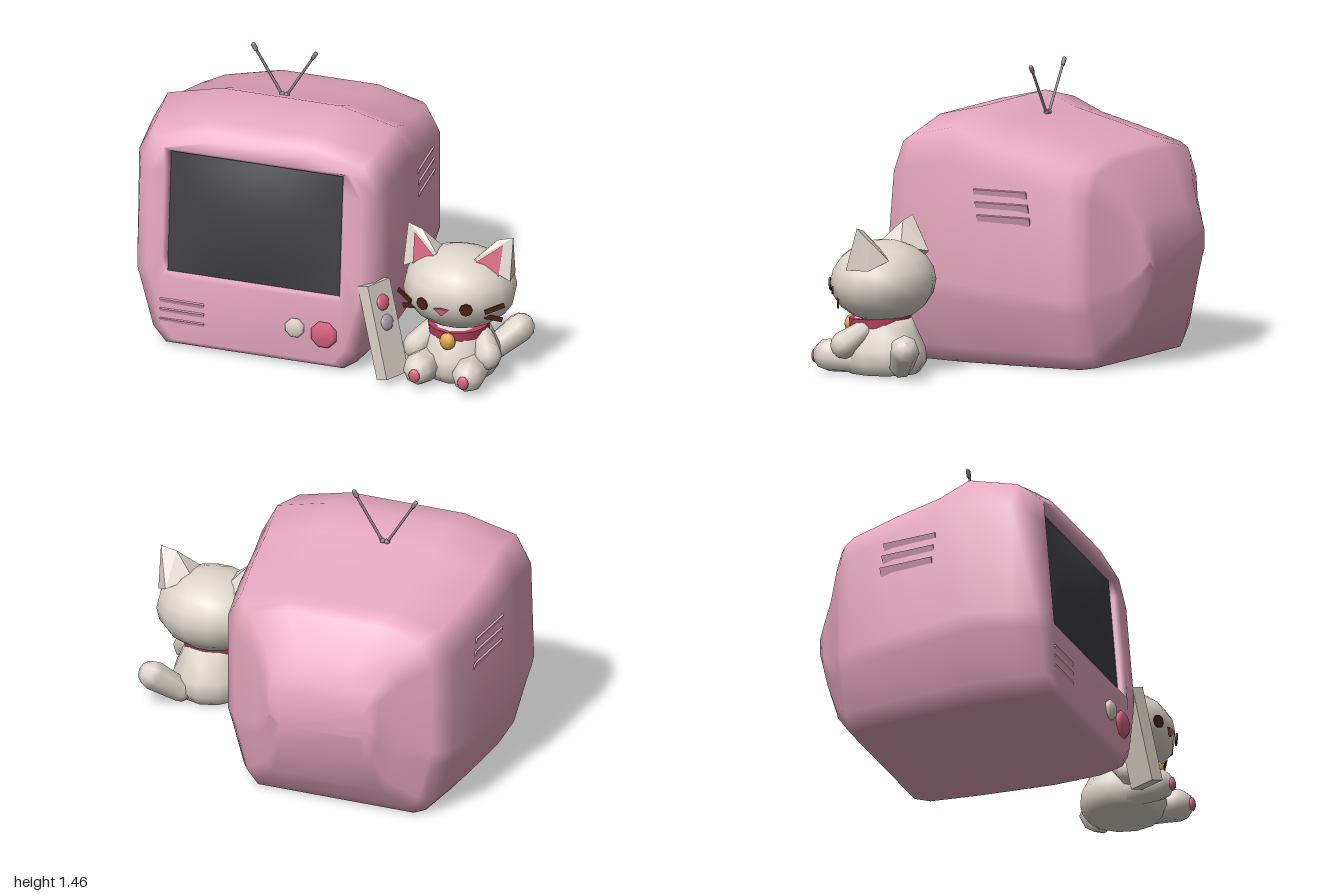
import * as THREE from 'three';
import { ConvexGeometry } from 'three/addons/geometries/ConvexGeometry.js';

const mat = (name, color) => Object.assign(new THREE.MeshStandardMaterial({ color }), { name });
const M = {
  pink: mat('cabinetPink', 0xe5a7be), screen: mat('screenGrey', 0x404045), cream: mat('cream', 0xddd4ca),
  rose: mat('rose', 0xd6627f), collar: mat('collarRed', 0xb83f60), lilac: mat('lilac', 0xad9db4),
  gold: mat('gold', 0xdda848), brown: mat('brown', 0x50241b), metal: mat('antennaMauve', 0x93828c),
};
const TVX = -0.316, CATX = 0.7;
const v3 = (x, y, z) => new THREE.Vector3(x, y, z);

function add(parent, name, geo, material, x = 0, y = 0, z = 0) {
  const m = new THREE.Mesh(geo, material);
  m.name = name;
  m.position.set(x, y, z);
  parent.add(m);
  return m;
}

function ball(parent, name, material, p, r, seg = 10) {
  const m = add(parent, name, new THREE.SphereGeometry(1, seg, Math.max(6, seg - 4)), material, ...p);
  m.scale.set(...r);
  return m;
}

// Rounded limb between two points, with its own radius at each end
function limb(parent, name, material, a, b, ra, rb, sides = 8) {
  const len = a.distanceTo(b), pts = [];
  for (let i = 0; i <= 3; i++) pts.push([ra * Math.sin(i * Math.PI / 6), -ra * Math.cos(i * Math.PI / 6)]);
  for (let i = 0; i <= 3; i++) pts.push([rb * Math.cos(i * Math.PI / 6), len + rb * Math.sin(i * Math.PI / 6)]);
  const geo = new THREE.LatheGeometry(pts.map(p => new THREE.Vector2(Math.max(p[0], 0), p[1])), sides);
  const m = add(parent, name, geo, material, a.x, a.y, a.z);
  m.quaternion.setFromUnitVectors(v3(0, 1, 0), b.clone().sub(a).normalize());
  return m;
}

// Leaning plane of the television front
const faceZ = y => 0.64 - 0.07 * THREE.MathUtils.clamp((y - 0.3) / 0.84, 0, 1);

// Half outlines (u across, v up) for cabinet and screen opening
const CABINET = [[0.75, 0], [0.86, 0.07], [0.96, 0.27], [1, 0.34], [1, 0.82], [0.88, 0.945], [0.46, 1]];
const OPENING = [[0.6, 0], [1, 0], [1, 0.14], [1, 0.3], [1, 0.85], [1, 1], [0.4, 1]];

function ring(half, w, y0, y1, zAt, cx = TVX) {
  const pt = (s, [u, v]) => {
    const y = y0 + v * (y1 - y0);
    return v3(cx + s * u * w, y, zAt(y));
  };
  return [...half.map(p => pt(1, p)), ...[...half].reverse().map(p => pt(-1, p))];
}

function loft(rings) {
  const n = rings[0].length, idx = [], pos = rings.flat().flatMap(p => [p.x, p.y, p.z]);
  for (let r = 0; r < rings.length - 1; r++)
    for (let i = 0; i < n; i++) {
      const a = r * n + i, b = r * n + (i + 1) % n;
      idx.push(a, b, b + n, a, b + n, a + n);
    }
  for (let i = 1; i < n - 1; i++) idx.push(0, i + 1, i); // back cap
  const g = new THREE.BufferGeometry();
  g.setAttribute('position', new THREE.Float32BufferAttribute(pos, 3));
  g.setIndex(idx);
  g.computeVertexNormals();
  return g;
}

function makeTelevision() {
  const tv = new THREE.Group();
  tv.name = 'television';

  // Cabinet sections from back to front: z, half width, bottom, top
  const rings = [
    [-0.725, 0.275, 0.49, 0.66], [-0.69, 0.305, 0.35, 0.77], [-0.62, 0.385, 0.17, 0.91], [-0.53, 0.53, 0.05, 1.04],
    [-0.5, 0.56, 0.01, 1.07], [-0.43, 0.61, 0, 1.09], [-0.18, 0.65, 0, 1.15], [0.05, 0.672, 0, 1.2],
    [0.22, 0.686, 0, 1.27], [0.47, 0.665, 0, 1.21],
  ].map(([z, w, y0, y1]) => ring(CABINET, w, y0, y1, () => z));
  const scrX = -0.325;
  rings.push(
    ring(CABINET, 0.63, 0.015, 1.165, y => faceZ(y) - 0.035),
    ring(CABINET, 0.565, 0.05, 1.125, faceZ),
    ring(OPENING, 0.478, 0.385, 1.065, faceZ, scrX),
    ring(OPENING, 0.462, 0.4, 1.045, y => faceZ(y) - 0.02, scrX),
    ring(OPENING, 0.458, 0.405, 1.04, y => faceZ(y) - 0.07, scrX),
  );
  add(tv, 'cabinet', loft(rings), M.pink);

  // Bulging screen
  const scr = new THREE.PlaneGeometry(0.924, 0.644, 10, 8), p = scr.attributes.position;
  for (let i = 0; i < p.count; i++) {
    const a = p.getX(i) / 0.462, b = p.getY(i) / 0.322, y = p.getY(i) + 0.723;
    p.setXYZ(i, p.getX(i) + scrX, y, faceZ(y) - 0.04 + 0.05 * (1 - a * a) * (1 - b * b));
  }
  scr.computeVertexNormals();
  add(tv, 'screen', scr, M.screen);

  // Louvres on the front and both sides
  for (let i = 0; i < 3; i++) {
    const f = add(tv, 'frontVent', new THREE.BoxGeometry(0.235, 0.034, 0.01), M.pink, -0.692, 0.25 - i * 0.053, 0.634);
    f.rotation.x = 0.4;
    for (const s of [-1, 1]) {
      const v = add(tv, 'sideVent', new THREE.BoxGeometry(0.01, 0.046, 0.29), M.pink,
        TVX + s * 0.657, 0.887 - i * 0.065, -0.08 - i * 0.01);
      v.rotation.set(0, s * 0.09, -s * 0.35);
    }
  }

  // Knobs
  const knob = (name, m, x, y, r) => {
    const pts = [[0, 0], [r, 0], [r, 0.02], [r * 0.75, 0.035], [0, 0.038]].map(q => new THREE.Vector2(...q));
    add(tv, name, new THREE.LatheGeometry(pts, 8, Math.PI / 8), m, x, y, 0.628).rotation.x = Math.PI / 2;
  };
  knob('smallKnob', M.cream, -0.09, 0.215, 0.052);
  knob('largeKnob', M.rose, 0.065, 0.2, 0.072);

  // Antennas
  for (const s of [-1, 1]) {
    const at = (dx, y) => v3(-0.36 + s * dx, y, 0.05);
    limb(tv, 'antennaRod', M.metal, at(0.005, 1.19), at(0.165, 1.45), 0.008, 0.007, 6);
    limb(tv, 'antennaTip', M.metal, at(0.153, 1.43), at(0.166, 1.452), 0.012, 0.012, 6);
    ball(tv, 'antennaFoot', M.metal, [-0.36 + s * 0.012, 1.205, 0.05], [0.016, 0.014, 0.014], 8);
  }
  return tv;
}

function makeRemote() {
  const g = new THREE.Group();
  g.name = 'remoteControl';
  g.position.set(0.366, 0.262, 0.598);
  g.rotation.set(0, -0.436, 0.28);
  add(g, 'remoteBody', new THREE.BoxGeometry(0.074, 0.49, 0.155), M.cream);
  ball(g, 'upperButton', M.rose, [0.037, 0.14, 0], [0.018, 0.042, 0.042]);
  ball(g, 'lowerButton', M.lilac, [0.037, 0.035, 0], [0.018, 0.042, 0.042]);
  return g;
}

function makeCat() {
  const cat = new THREE.Group();
  cat.name = 'cat';
  cat.position.x = CATX;

  // Head, body, collar and bell
  const HY = 0.465, HZ = 0.388, R = [0.292, 0.207, 0.258];
  ball(cat, 'head', M.cream, [0, HY, HZ], R, 14);
  const body = [[0, 0.005], [0.17, 0.005], [0.205, 0.06], [0.2, 0.13], [0.165, 0.21], [0.135, 0.28], [0, 0.3]];
  add(cat, 'body', new THREE.LatheGeometry(body.map(q => new THREE.Vector2(...q)), 12), M.cream, 0, 0, 0.39).scale.z = 1.1;
  const collar = add(cat, 'collar', new THREE.CylinderGeometry(0.158, 0.155, 0.046, 14), M.collar, 0, 0.262, 0.405);
  collar.rotation.x = 0.06;
  ball(cat, 'bell', M.gold, [0, 0.235, 0.575], [0.043, 0.045, 0.03]);

  // Thin facial details set on the curve of the head
  const onFace = (name, geo, m, dx, y, lift, yaw, pitch = 0, roll = 0) => {
    const dy = y - HY, dz = R[2] * Math.sqrt(1 - (dx / R[0]) ** 2 - (dy / R[1]) ** 2);
    const part = add(cat, name, geo, m, dx, y, HZ + dz + lift);
    part.rotation.set(pitch, yaw, roll, 'YXZ');
  };
  const disc = new THREE.CylinderGeometry(0.034, 0.034, 0.009, 8).rotateX(Math.PI / 2);
  const noseShape = new THREE.Shape([[-0.038, 0.016], [0, -0.022], [0.038, 0.016], [0, 0.022]].map(q => new THREE.Vector2(...q)));
  const nose = new THREE.ExtrudeGeometry(noseShape, { depth: 0.009, bevelEnabled: false });
  onFace('nose', nose, M.rose, -0.008, 0.425, 0, 0, 0.2);

  for (const s of [-1, 1]) {
    onFace('eye', disc, M.brown, s * 0.117, 0.445, 0.002, s * 0.35, 0.1);
    onFace('upperWhisker', new THREE.BoxGeometry(0.105, 0.024, 0.009), M.brown, s * 0.24, 0.437, 0.012, s * 0.55, 0, s * 0.3);
    onFace('lowerWhisker', new THREE.BoxGeometry(0.095, 0.024, 0.009), M.brown, s * 0.225, 0.375, 0.012, s * 0.55, 0, -s * 0.3);

    // Ear with a thin pink inner triangle
    const ear = [[0.10, 0.65, 0.46], [0.285, 0.55, 0.44], [0.28, 0.765, 0.38], [0.2, 0.745, 0.39],
      [0.2, 0.6, 0.24], [0.09, 0.63, 0.34], [0.27, 0.55, 0.32], [0.25, 0.69, 0.32]];
    add(cat, 'ear', new ConvexGeometry(ear.map(([x, y, z]) => v3(s * x, y, z))), M.cream);
    const inner = [[0.11, 0.64], [0.228, 0.575], [0.236, 0.73]];
    if (s < 0) inner.reverse();
    const tri = new THREE.BufferGeometry().setFromPoints(
      inner.map(([x, y]) => v3(s * x, y, 0.468 - 0.262 * (x - 0.1) - 0.285 * (y - 0.65))));
    tri.computeVertexNormals();
    add(cat, 'innerEar', tri, M.rose);

    // Arms, legs and paw pads
    limb(cat, 'arm', M.cream, v3(s * 0.14, 0.22, 0.43), v3(s * 0.19, 0.155, 0.505), 0.055, 0.07);
    limb(cat, 'leg', M.cream, v3(s * 0.11, 0.08, 0.45), v3(s * 0.13, 0.088, 0.622), 0.075, 0.085);
    ball(cat, 'pawPad', M.rose, [s * 0.13, 0.08, 0.706], [0.03, 0.036, 0.016], 8);
  }

  // Tail
  limb(cat, 'tail', M.cream, v3(0.11, 0.06, 0.22), v3(0.225, 0.16, 0.135), 0.062, 0.076, 7);
  return cat;
}

export function createModel() {
  const model = new THREE.Group();
  model.name = 'televisionWithCat';
  model.add(makeTelevision(), makeRemote(), makeCat());
  return model;
}
